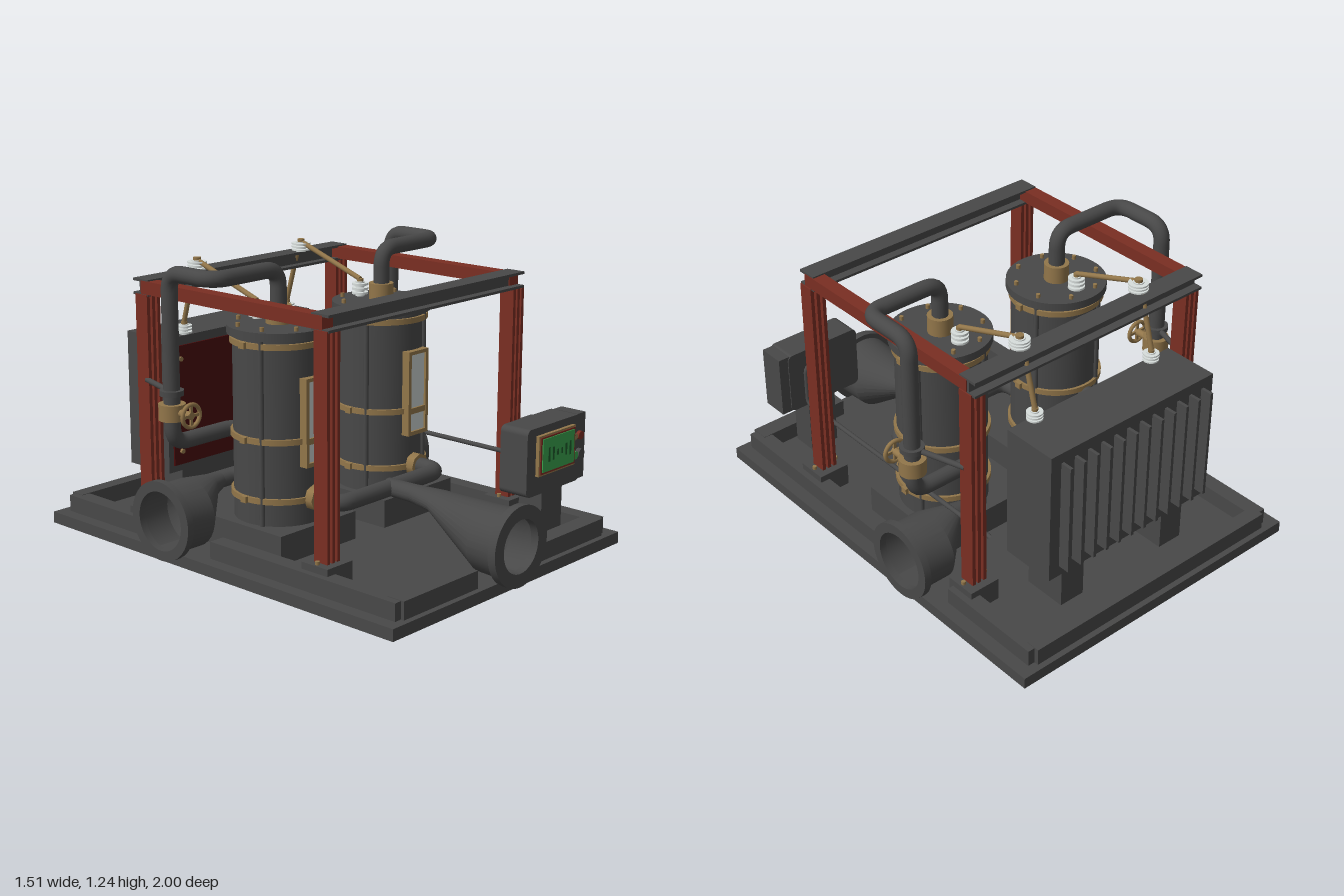
import * as THREE from 'three';
import { toCreasedNormals } from 'three/addons/utils/BufferGeometryUtils.js';

const mat = (name, color, side = THREE.FrontSide) => {
  const m = new THREE.MeshStandardMaterial({ color, side });
  m.name = name;
  return m;
};

export function createModel() {
  const root = new THREE.Group();
  root.name = 'filterSkid';
  const steel = mat('darkSteel', 0x484848, THREE.DoubleSide);
  const red = mat('redPaint', 0x7a2e22);
  const maroon = mat('darkRedPanel', 0x480b0b);
  const brass = mat('brass', 0x92764a);
  const glass = mat('glass', 0xc6cecb);
  const white = mat('porcelain', 0xd8dedc);
  const green = mat('screenGreen', 0x38a04c);
  const darkGreen = mat('screenMarks', 0x1d5a2a);

  // Helpers
  const add = (parent, name, geo, m, x = 0, y = 0, z = 0) => {
    const mesh = new THREE.Mesh(geo, m);
    mesh.name = name;
    mesh.position.set(x, y, z);
    parent.add(mesh);
    return mesh;
  };
  // box given by its extents
  const box = (parent, name, m, x0, x1, y0, y1, z0, z1) => add(parent, name,
    new THREE.BoxGeometry(x1 - x0, y1 - y0, z1 - z0), m, (x0 + x1) / 2, (y0 + y1) / 2, (z0 + z1) / 2);
  // upright cylinder from y0 to y1
  const cyl = (parent, name, m, r, x, y0, y1, z, sides = 32) => add(parent, name,
    new THREE.CylinderGeometry(r, r, y1 - y0, sides), m, x, (y0 + y1) / 2, z);
  // disc or short cylinder facing z
  const discZ = (parent, name, m, r, d, x, y, z, sides = 24) => {
    const c = add(parent, name, new THREE.CylinderGeometry(r, r, d, sides), m, x, y, z);
    c.rotation.x = Math.PI / 2;
    return c;
  };
  const rod = (parent, name, m, r, a, b) => {
    const p = new THREE.Vector3(...a), q = new THREE.Vector3(...b);
    const c = add(parent, name, new THREE.CylinderGeometry(r, r, p.distanceTo(q), 12), m);
    c.position.lerpVectors(p, q, 0.5);
    c.quaternion.setFromUnitVectors(new THREE.Vector3(0, 1, 0), q.sub(p).normalize());
    return c;
  };
  // pipe through points with rounded bends
  const pipe = (parent, name, m, r, bend, pts) => {
    const v = pts.map(p => new THREE.Vector3(...p));
    const path = new THREE.CurvePath();
    let last = v[0];
    for (let i = 1; i < v.length - 1; i++) {
      const inDir = v[i - 1].clone().sub(v[i]), outDir = v[i + 1].clone().sub(v[i]);
      const d = Math.min(bend, inDir.length() * 0.48, outDir.length() * 0.48);
      const a = v[i].clone().addScaledVector(inDir.normalize(), d);
      const b = v[i].clone().addScaledVector(outDir.normalize(), d);
      path.add(new THREE.LineCurve3(last, a));
      path.add(new THREE.QuadraticBezierCurve3(a, v[i], b));
      last = b;
    }
    path.add(new THREE.LineCurve3(last, v[v.length - 1]));
    return add(parent, name, new THREE.TubeGeometry(path, 120, r, 16), m);
  };
  const ringGeo = (rOut, rIn, depth) => {
    const s = new THREE.Shape().absarc(0, 0, rOut, 0, Math.PI * 2);
    s.holes.push(new THREE.Path().absarc(0, 0, rIn, 0, Math.PI * 2, true));
    return toCreasedNormals(new THREE.ExtrudeGeometry(s, { depth, bevelEnabled: false, curveSegments: 24 }), 0.5);
  };
  // open tube along z through sections [z, yCentre, rx, ry]
  const loft = (parent, name, sections) => {
    const g = new THREE.CylinderGeometry(1, 1, 1, 32, sections.length - 1, true);
    const p = g.attributes.position;
    for (let i = 0; i < p.count; i++) {
      const [z, yc, rx, ry] = sections[Math.floor(i / 33)];
      p.setXYZ(i, p.getX(i) * rx, yc - p.getZ(i) * ry, z);
    }
    return add(parent, name, toCreasedNormals(g, 0.25), steel);
  };

  // Base plate and broken curb
  box(root, 'basePlate', steel, -0.73, 0.73, 0, 0.05, -1, 0.97);
  box(root, 'backCurb', steel, -0.64, 0.64, 0.05, 0.125, -0.975, -0.91);
  for (const s of [-1, 1]) {
    const span = (a, b) => (s > 0 ? [a, b] : [-b, -a]);
    box(root, 'frontCurb', steel, ...span(0.2, 0.64), 0.05, 0.125, 0.865, 0.945);
    box(root, 'sideCurbFront', steel, ...span(0.6, 0.672), 0.05, 0.123, -0.06, 0.93);
    box(root, 'sideCurbBack', steel, ...span(0.6, 0.672), 0.05, 0.123, -0.955, -0.47);
  }

  // Steel frame
  for (const s of [-1, 1]) {
    for (const z of [0.495, -0.515]) {
      const post = new THREE.Group();
      post.name = 'post';
      post.position.set(s * 0.572, 0, z);
      root.add(post);
      box(post, 'footPlate', steel, -0.072, 0.072, 0.05, 0.152, -0.068, 0.068);
      for (const x of [-0.028, 0, 0.028]) box(post, 'postFlange', red, x - 0.008, x + 0.008, 0.15, 1.07, -0.035, 0.035);
      box(post, 'postWeb', red, -0.03, 0.03, 0.15, 1.07, -0.012, 0.012);
      for (const x of [-0.055, 0.055]) cyl(post, 'footBolt', brass, 0.01, x, 0.15, 0.166, 0, 6);
    }
    box(root, 'sideBeam', red, s * 0.575 - 0.03, s * 0.575 + 0.03, 1.072, 1.127, -0.52, 0.5);
  }
  for (const z of [0.488, -0.523]) {
    box(root, 'crossBeamTop', steel, -0.603, 0.603, 1.122, 1.133, z - 0.045, z + 0.045);
    box(root, 'crossBeamBottom', steel, -0.603, 0.603, 1.064, 1.075, z - 0.045, z + 0.045);
    box(root, 'crossBeamWeb', steel, -0.6, 0.6, 1.07, 1.125, z - 0.008, z + 0.008);
  }

  // Ribbed porcelain insulator
  const insulator = (x, y, z, r, h) => {
    cyl(root, 'insulatorCore', white, r * 0.55, x, y, y + h, z, 16);
    for (let i = 0; i < 3; i++) cyl(root, 'insulatorDisc', white, r, x, y + h * (0.15 + i * 0.3), y + h * (0.3 + i * 0.3), z, 20);
    cyl(root, 'insulatorCap', brass, r * 0.4, x, y + h, y + h + 0.012, z, 12);
  };

  // Two filter vessels with their pipework
  const tz = -0.012;
  for (const s of [-1, 1]) {
    const tank = new THREE.Group();
    tank.name = 'vessel';
    tank.position.set(s * 0.315, 0, tz);
    root.add(tank);
    box(tank, 'plinth', steel, -0.222, 0.222, 0.05, 0.172, -0.222, 0.222);
    cyl(tank, 'vesselBody', steel, 0.19, 0, 0.17, 0.95, 0, 48);
    cyl(tank, 'vesselLid', steel, 0.213, 0, 0.945, 0.98, 0, 48);
    for (const y of [0.278, 0.528, 0.92]) {
      cyl(tank, 'clampBand', brass, 0.202, 0, y - 0.012, y + 0.012, 0, 48);
      for (const e of [-1, 1]) box(tank, 'clampEar', brass, e * 0.203 - 0.012, e * 0.203 + 0.012, y - 0.013, y + 0.013, -0.015, 0.015);
    }
    for (let i = 0; i < 8; i++) {
      const a = (i + 0.5) * Math.PI / 4, c = Math.cos(a), d = Math.sin(a);
      cyl(tank, 'lidBolt', brass, 0.009, c * 0.178, 0.98, 0.997, d * 0.178, 8);
      if (i % 2) cyl(tank, 'tieRod', steel, 0.011, c * 0.192, 0.17, 0.95, d * 0.192, 10);
    }
    cyl(tank, 'neck', brass, 0.053, 0, 0.98, 1.055, 0);

    // Sight glass
    const frame = new THREE.Shape([[-0.064, 0.42], [0.064, 0.42], [0.064, 0.79], [-0.064, 0.79]].map(p => new THREE.Vector2(...p)));
    frame.holes.push(new THREE.Path([[-0.047, 0.437], [-0.047, 0.775], [0.047, 0.775], [0.047, 0.437]].map(p => new THREE.Vector2(...p))));
    add(tank, 'sightFrame', new THREE.ExtrudeGeometry(frame, { depth: 0.05, bevelEnabled: false }), brass, 0, 0, 0.166);
    box(tank, 'sightGlass', glass, -0.05, 0.05, 0.435, 0.778, 0.198, 0.206);
    box(tank, 'sightBar', brass, -0.06, 0.06, 0.515, 0.54, 0.19, 0.215);

    // Overhead pipe, down to the back of the vessel
    const px = s * 0.673, pz = -0.268, x = s * 0.315;
    pipe(root, 'overheadPipe', steel, 0.034, 0.075, [[x, 1.0, tz], [x, 1.203, tz], [px, 1.203, tz],
      [px, 1.203, pz], [px, 0.495, pz], [x, 0.495, pz], [x, 0.495, -0.1]]);
    cyl(root, 'pipeCollar', steel, 0.05, px, 0.7, 0.722, pz);
    rod(root, 'pipeBracket', steel, 0.012, [px, 0.71, pz], [s * 0.6, 0.71, -0.5]);

    // Valve with handwheel
    cyl(root, 'valveBody', brass, 0.056, px, 0.597, 0.665, pz);
    discZ(root, 'valveStem', brass, 0.016, 0.12, px, 0.633, -0.21);
    add(root, 'handwheelRim', new THREE.TorusGeometry(0.047, 0.009, 10, 28), brass, px, 0.633, -0.155);
    for (let i = 0; i < 2; i++) {
      const spoke = add(root, 'handwheelSpoke', new THREE.BoxGeometry(0.092, 0.012, 0.01), brass, px, 0.633, -0.155);
      spoke.rotation.z = i * Math.PI / 2;
    }

    // Lower feed at the front, with collar
    pipe(root, 'feedBranch', steel, 0.036, 0.07, [[0, 0.28, 0.325], [x, 0.28, 0.325], [x, 0.28, 0.15]]);
    discZ(root, 'feedCollar', brass, 0.053, 0.04, x, 0.28, 0.198, 8);

    // Side outlet: flange, pipe and reducer, turned to face outward
    const outlet = new THREE.Group();
    outlet.name = 'sideOutlet';
    outlet.position.set(s * 0.757, 0, -0.265);
    outlet.rotation.y = s * Math.PI / 2;
    root.add(outlet);
    add(outlet, 'outletFlange', ringGeo(0.169, 0.126, 0.032), steel, 0, 0.182, -0.032);
    loft(outlet, 'outletReducer', [[-0.03, 0.182, 0.146, 0.146], [-0.17, 0.182, 0.146, 0.146], [-0.28, 0.27, 0.055, 0.05], [-0.34, 0.28, 0.034, 0.034]]);
    pipe(root, 'outletBranch', steel, 0.033, 0.06, [[s * 0.45, 0.28, -0.265], [x, 0.28, -0.265], [x, 0.28, -0.12]]);

    // Insulators and conducting rods
    insulator(x, 0.98, -0.135, 0.036, 0.065);
    insulator(x, 1.133, -0.49, 0.042, 0.045);
    insulator(x, 0.845, -0.58, 0.034, 0.045);
    rod(root, 'conductorUpper', brass, 0.011, [x, 1.055, -0.135], [x, 1.178, -0.49]);
    rod(root, 'conductorLower', brass, 0.011, [x, 1.175, -0.5], [x, 0.9, -0.58]);
  }

  // Front inlet
  add(root, 'inletFlange', ringGeo(0.169, 0.112, 0.035), steel, 0, 0.182, 0.965);
  loft(root, 'inletReducer', [[0.97, 0.182, 0.146, 0.146], [0.84, 0.182, 0.14, 0.14], [0.58, 0.275, 0.076, 0.046], [0.45, 0.28, 0.042, 0.039], [0.31, 0.28, 0.038, 0.037]]);

  // Finned cabinet at the back
  box(root, 'cabinet', steel, -0.437, 0.437, 0.25, 0.845, -0.81, -0.56);
  box(root, 'cabinetPanel', maroon, -0.41, 0.41, 0.28, 0.806, -0.562, -0.552);
  for (let i = 0; i < 12; i++) {
    const x = -0.38 + i * 0.069;
    box(root, 'coolingFin', steel, x - 0.007, x + 0.007, 0.3, 0.8, -0.862, -0.8);
  }
  for (const s of [-1, 1]) {
    box(root, 'cabinetLeg', steel, s * 0.28 - 0.06, s * 0.28 + 0.06, 0.05, 0.25, -0.78, -0.585);
    for (const y of [0.34, 0.54, 0.75]) discZ(root, 'panelBolt', brass, 0.011, 0.02, s * 0.37, y, -0.55, 8);
  }

  // Control box on its stand
  box(root, 'controlStand', steel, 0.335, 0.475, 0.05, 0.31, 0.735, 0.85);
  const face = new THREE.Shape();
  const x0 = 0.2, x1 = 0.565, y0 = 0.3, y1 = 0.585, r = 0.025;
  face.absarc(x1 - r, y1 - r, r, 0, Math.PI / 2).absarc(x0 + r, y1 - r, r, Math.PI / 2, Math.PI);
  face.absarc(x0 + r, y0 + r, r, Math.PI, Math.PI * 1.5).absarc(x1 - r, y0 + r, r, Math.PI * 1.5, Math.PI * 2);
  add(root, 'controlBox', new THREE.ExtrudeGeometry(face, { depth: 0.135, bevelEnabled: false, curveSegments: 6 }), steel, 0, 0, 0.735);
  box(root, 'controlBoxSide', steel, 0.555, 0.61, 0.302, 0.583, 0.74, 0.862);
  box(root, 'screenSurround', brass, 0.258, 0.508, 0.382, 0.552, 0.86, 0.886);
  box(root, 'screenBezel', red, 0.265, 0.501, 0.389, 0.545, 0.88, 0.89);
  box(root, 'screen', green, 0.275, 0.491, 0.398, 0.538, 0.886, 0.894);
  [0.06, 0.055, 0.025, 0.025, 0.05, 0.06].forEach((h, i) => {
    const x = 0.315 + i * 0.029;
    box(root, 'screenMark', darkGreen, x - 0.006, x + 0.006, 0.468 - h / 2, 0.468 + h / 2, 0.89, 0.897);
  });
  discZ(root, 'stopButton', red, 0.018, 0.025, 0.553, 0.497, 0.873);
  discZ(root, 'startButton', green, 0.017, 0.025, 0.518, 0.417, 0.873);
  discZ(root, 'selectorKnob', steel, 0.02, 0.03, 0.552, 0.42, 0.875);
  discZ(root, 'smallButton', brass, 0.012, 0.02, 0.52, 0.497, 0.873);

  // Conduit from the control box along the frame
  discZ(root, 'conduitGland', brass, 0.018, 0.05, 0.4, 0.548, 0.715, 12);
  pipe(root, 'conduit', steel, 0.01, 0.03, [[0.4, 0.548, 0.74], [0.4, 0.548, 0.672], [0.52, 0.548, 0.672],
    [0.52, 0.36, 0.672], [0.52, 0.36, -0.38], [0.52, 0.36, -0.55]]);
  discZ(root, 'conduitEnd', brass, 0.018, 0.035, 0.52, 0.36, -0.46, 12);

  return root;
}
